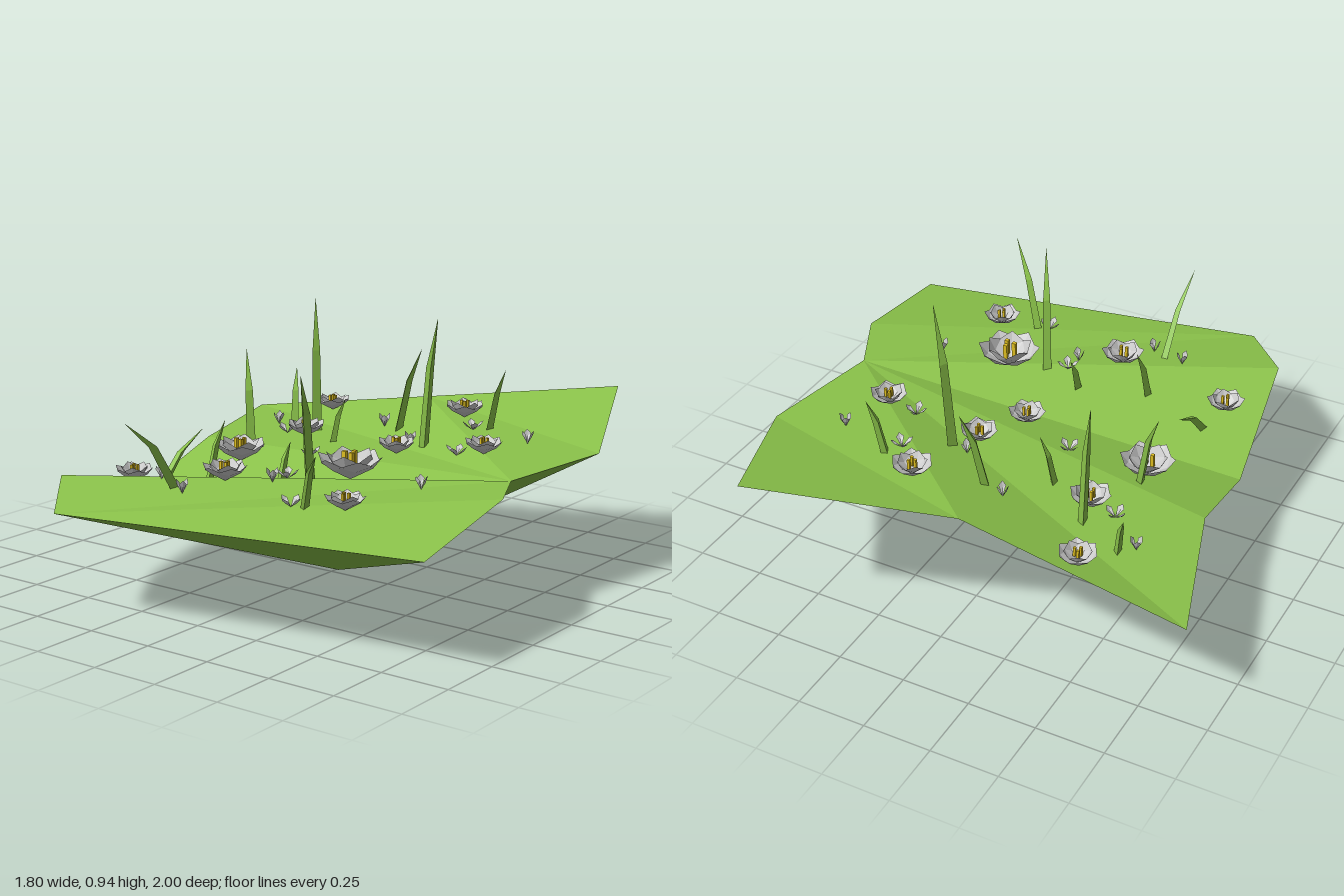
import * as THREE from 'three';

const mat = (color, side = THREE.DoubleSide) => new THREE.MeshStandardMaterial({ color, flatShading: true, side });
const GREEN = mat(0x8bc34a), GREY = mat(0xcccccc), YELLOW = mat(0xe0c020);

// Rim of the ground patch, clockwise seen from above
const RIM = [
  [-0.9, 0.37, -0.73], [-0.07, 0.515, -0.725], [0.61, 0.595, -1], [0.835, 0.475, -0.455],
  [0.765, 0.465, 0.02], [0.875, 0.47, 0.25], [0.9, 0.385, 0.74], [-0.41, 0.375, 0.995],
  [-0.61, 0.425, 0.75], [-0.68, 0.26, 0.24], [-0.715, 0.37, -0.165],
];
const APEX = [0.01, 0, -0.03];
const TOP = [[1, 3, 2], [1, 4, 3], [0, 4, 1], [0, 10, 4], [10, 9, 4], [9, 8, 4], [8, 7, 4], [7, 5, 4], [7, 6, 5]];

function facets(tris) {
  const g = new THREE.BufferGeometry();
  g.setAttribute('position', new THREE.Float32BufferAttribute(tris.flat(2), 3));
  g.computeVertexNormals();
  return g;
}

// Height of the ground surface at x, z
function groundY(x, z) {
  for (const t of TOP) {
    const [a, b, c] = t.map((i) => RIM[i]);
    const d = (b[2] - c[2]) * (a[0] - c[0]) + (c[0] - b[0]) * (a[2] - c[2]);
    const u = ((b[2] - c[2]) * (x - c[0]) + (c[0] - b[0]) * (z - c[2])) / d;
    const v = ((c[2] - a[2]) * (x - c[0]) + (a[0] - c[0]) * (z - c[2])) / d;
    if (u >= 0 && v >= 0 && u + v <= 1) return u * a[1] + v * b[1] + (1 - u - v) * c[1];
  }
  return 0.45;
}

// Ring of folded, pointed petals; r is the reach, h the tip height
function petals(n, r, h, w, turn) {
  const tris = [];
  for (let i = 0; i < n; i++) {
    const a = turn + (i / n) * Math.PI * 2, c = Math.cos(a), s = Math.sin(a);
    const p = (out, y, side) => [out * c - side * s, y, out * s + side * c];
    const base = p(0, 0, 0), mid = p(r * 0.7, h * 0.5, 0), tip = p(r, h, 0);
    const l = p(r * 0.72, h * 0.72, w), q = p(r * 0.72, h * 0.72, -w);
    tris.push([base, mid, l], [l, mid, tip], [base, q, mid], [q, tip, mid]);
  }
  return facets(tris);
}

// Three-sided grass blade from base to tip, bent above the middle
function blade(base, tip, width) {
  const b = new THREE.Vector3(...base), t = new THREE.Vector3(...tip);
  const knee = b.clone().lerp(t, 0.45);
  knee.y = b.y + (t.y - b.y) * 0.62;
  const turn = Math.atan2(t.z - b.z, t.x - b.x);
  const rings = [[b, 0.8], [knee, 0.65], [t, 0.02]].map(([p, k]) => [0, 1, 2].map((i) => {
    const a = turn + (i / 3) * Math.PI * 2;
    return [p.x + Math.cos(a) * width * k * 0.6, p.y, p.z + Math.sin(a) * width * k];
  }));
  const tris = [];
  for (let r = 0; r < 2; r++) for (let i = 0; i < 3; i++) {
    const j = (i + 1) % 3, lo = rings[r], hi = rings[r + 1];
    tris.push([lo[i], hi[i], hi[j]], [lo[i], hi[j], lo[j]]);
  }
  return facets(tris);
}

export function createModel() {
  const model = new THREE.Group();
  const add = (parent, name, geo, material) => {
    const m = new THREE.Mesh(geo, material);
    m.name = name;
    parent.add(m);
    return m;
  };
  const plantAt = (name, x, z) => {
    const g = new THREE.Group();
    g.name = name;
    g.position.set(x, groundY(x, z), z);
    model.add(g);
    return g;
  };

  // Ground: faceted top and a fan down to one point
  const under = RIM.map((p, i) => [p, RIM[(i + 1) % RIM.length], APEX]);
  add(model, 'groundTop', facets(TOP.map((t) => t.map((i) => RIM[i]))), GREEN);
  add(model, 'groundUnderside', facets(under), mat(0x8bc34a, THREE.FrontSide));

  // Large open flowers: x, z, radius
  [
    [-0.47, -0.645, 0.07], [0.205, -0.56, 0.075], [-0.35, -0.31, 0.075], [0.155, -0.185, 0.07],
    [0.52, -0.195, 0.07], [-0.42, 0, 0.1], [0.085, 0.045, 0.07], [0.28, 0.27, 0.115],
    [-0.51, 0.485, 0.07], [-0.08, 0.5, 0.08], [0.46, 0.545, 0.07],
  ].forEach(([x, z, r], k) => {
    const f = plantAt('flower', x, z);
    add(f, 'outerPetals', petals(6, r, r * 0.75, r * 0.5, k), GREY);
    add(f, 'innerPetals', petals(5, r * 0.72, r * 0.85, r * 0.42, k + 0.5), GREY);
    for (let i = 0; i < 3; i++) {
      const a = k + (i * Math.PI * 2) / 3;
      const s = add(f, 'stamen', new THREE.BoxGeometry(r * 0.13, r * 0.5, r * 0.13), YELLOW);
      s.position.set(Math.cos(a) * r * 0.17, r * 0.6, Math.sin(a) * r * 0.17);
    }
  });

  // Small four-petalled blossoms
  [[-0.455, -0.33], [0.325, -0.43], [0.41, -0.19], [-0.14, -0.06], [0.08, 0.36], [0.28, 0.6]].forEach(([x, z], k) => {
    add(plantAt('blossom', x, z), 'blossomPetals', petals(4, 0.04, 0.035, 0.014, k * 0.6 + 0.2), GREY);
  });

  // Closed buds
  [
    [-0.59, -0.45], [-0.09, -0.46], [0.575, -0.4], [0.145, -0.29],
    [0.55, 0.24], [0.07, 0.43], [-0.28, 0.6], [-0.14, 0.655],
  ].forEach(([x, z], k) => {
    add(plantAt('bud', x, z), 'budPetals', petals(3, 0.022, 0.05, 0.013, k), GREY);
  });

  // Grass blades: base x, z, then tip x, y, z, then width
  [
    [0.21, -0.28, 0.325, 0.94, -0.19, 0.034], [-0.37, -0.41, -0.42, 0.9, -0.465, 0.034],
    [0.15, 0.33, 0.245, 0.84, 0.5, 0.034], [-0.2, 0.62, -0.205, 0.685, 0.86, 0.03],
    [0.32, 0.58, 0.525, 0.67, 0.79, 0.028], [-0.43, -0.08, -0.54, 0.73, -0.19, 0.032],
    [-0.54, -0.49, -0.6, 0.59, -0.58, 0.028], [-0.01, -0.43, 0.05, 0.75, -0.5, 0.03],
    [0.36, -0.48, 0.405, 0.71, -0.52, 0.028], [-0.47, 0.38, -0.465, 0.5, 0.16, 0.03],
    [-0.19, -0.27, -0.13, 0.58, -0.265, 0.024], [-0.23, 0.41, -0.21, 0.6, 0.34, 0.026],
    [0.01, 0.31, 0.02, 0.54, 0.265, 0.026],
  ].forEach(([x, z, tx, ty, tz, w]) => {
    add(model, 'grassBlade', blade([x, groundY(x, z) - 0.01, z], [tx, ty, tz], w), GREEN);
  });

  return model;
}
